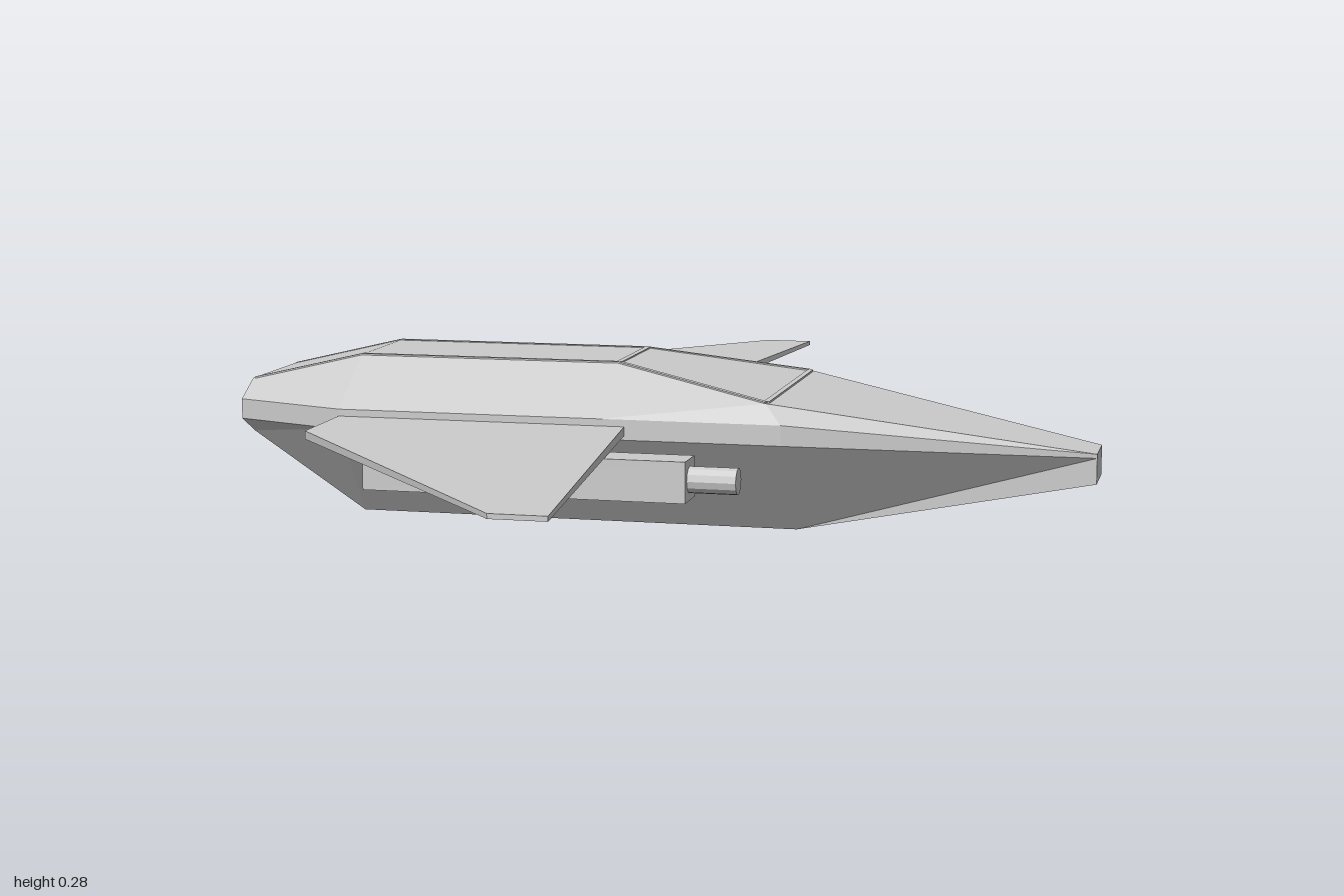
import * as THREE from 'three';

const grey = new THREE.MeshStandardMaterial({ color: 0xcccccc, flatShading: true });

function add(parent, name, geometry) {
  const mesh = new THREE.Mesh(geometry, grey);
  mesh.name = name;
  parent.add(mesh);
  return mesh;
}

// Skin over mirrored half sections; each point is [x, y, halfWidth], bottom to top
function loft(sections) {
  const rings = sections.map(s => [
    ...s.map(([x, y, z]) => [x, y, z]),
    ...s.slice().reverse().map(([x, y, z]) => [x, y, -z]),
  ]);
  const n = rings[0].length, pos = [];
  const tri = (a, b, c) => pos.push(...a, ...b, ...c);
  for (let i = 0; i < rings.length - 1; i++) {
    for (let j = 0; j < n; j++) {
      const k = (j + 1) % n;
      const a = rings[i][j], b = rings[i + 1][j], c = rings[i + 1][k], d = rings[i][k];
      // mirrored diagonals keep both sides symmetrical
      if (j < n / 2) { tri(a, b, c); tri(a, c, d); }
      else { tri(a, b, d); tri(b, c, d); }
    }
  }
  const first = rings[0], last = rings[rings.length - 1];
  for (let k = 1; k < n - 1; k++) {
    tri(first[0], first[k], first[k + 1]);
    tri(last[0], last[k + 1], last[k]);
  }
  const g = new THREE.BufferGeometry();
  g.setAttribute('position', new THREE.Float32BufferAttribute(pos, 3));
  g.computeVertexNormals();
  return g;
}

// Slim square strip between two points
function strip(parent, name, from, to, width = 0.01, height = 0.005) {
  const a = new THREE.Vector3(...from), b = new THREE.Vector3(...to);
  const mesh = add(parent, name, new THREE.BoxGeometry(width, height, a.distanceTo(b)));
  mesh.position.copy(a).lerp(b, 0.5);
  mesh.lookAt(b);
}

function wingGeometry(side) {
  // outline in [x, span]; thickness shrinks towards the tip
  const outline = [[-0.54, 0.18], [-0.54, 0.39], [-0.03, 1], [0.06, 1], [-0.035, 0.18]];
  const shape = new THREE.Shape(outline.map(([x, s]) => new THREE.Vector2(x, s * side)));
  const g = new THREE.ExtrudeGeometry(shape, { depth: 1, bevelEnabled: false });
  g.rotateX(Math.PI / 2);
  const p = g.attributes.position;
  for (let i = 0; i < p.count; i++) {
    const span = Math.abs(p.getZ(i));
    const half = 0.009 - 0.005 * span;
    p.setY(i, 0.18 + (p.getY(i) > -0.5 ? half : -half));
  }
  g.computeVertexNormals();
  return g;
}

export function createModel() {
  const ship = new THREE.Group();
  ship.name = 'spaceship';

  // Hull, with a recessed exhaust at the tail
  const tail = [[-0.75, 0.135, 0.1], [-0.75, 0.165, 0.155], [-0.75, 0.2, 0.155], [-0.75, 0.23, 0.1]];
  const inset = x => tail.map(([, y, z]) => [x, 0.1825 + (y - 0.1825) * 0.72, z * 0.87]);
  const body = x => [[x, 0, 0.105], [x, 0.165, 0.23], [x, 0.2, 0.23], [x, 0.28, 0.105]];
  add(ship, 'hull', loft([
    inset(-0.7), inset(-0.75), tail, body(-0.54), body(-0.07),
    [[0.245, 0, 0.105], [0.24, 0.165, 0.23], [0.24, 0.2, 0.23], [0.21, 0.233, 0.21]],
    [[0.75, 0.09, 0.05], [0.75, 0.135, 0.05], [0.75, 0.138, 0.05], [0.75, 0.142, 0.05]],
  ]));

  // Canopy frame cross bars
  strip(ship, 'canopyRearFrame', [-0.07, 0.279, -0.105], [-0.07, 0.279, 0.105]);
  strip(ship, 'canopyFrontFrame', [0.21, 0.233, -0.2], [0.21, 0.233, 0.2]);

  for (const side of [1, -1]) {
    const label = side > 0 ? 'left' : 'right';

    // Trim along the spine and canopy
    strip(ship, label + 'TailTrim', [-0.745, 0.23, 0.098 * side], [-0.54, 0.279, 0.102 * side]);
    strip(ship, label + 'SpineTrim', [-0.54, 0.279, 0.102 * side], [-0.07, 0.279, 0.102 * side]);
    strip(ship, label + 'CanopyTrim', [-0.07, 0.279, 0.102 * side], [0.21, 0.233, 0.205 * side]);

    add(ship, label + 'Wing', wingGeometry(side));

    // Gun slung under the wing
    const gun = new THREE.Group();
    gun.name = label + 'Gun';
    gun.position.set(0, 0.138, 0.423 * side);
    ship.add(gun);
    add(gun, 'gunBody', new THREE.BoxGeometry(0.545, 0.068, 0.066)).position.x = -0.1425;
    const barrel = add(gun, 'gunBarrel', new THREE.CylinderGeometry(0.022, 0.022, 0.1, 12));
    barrel.rotation.z = -Math.PI / 2;
    barrel.position.x = 0.16;
  }
  return ship;
}
